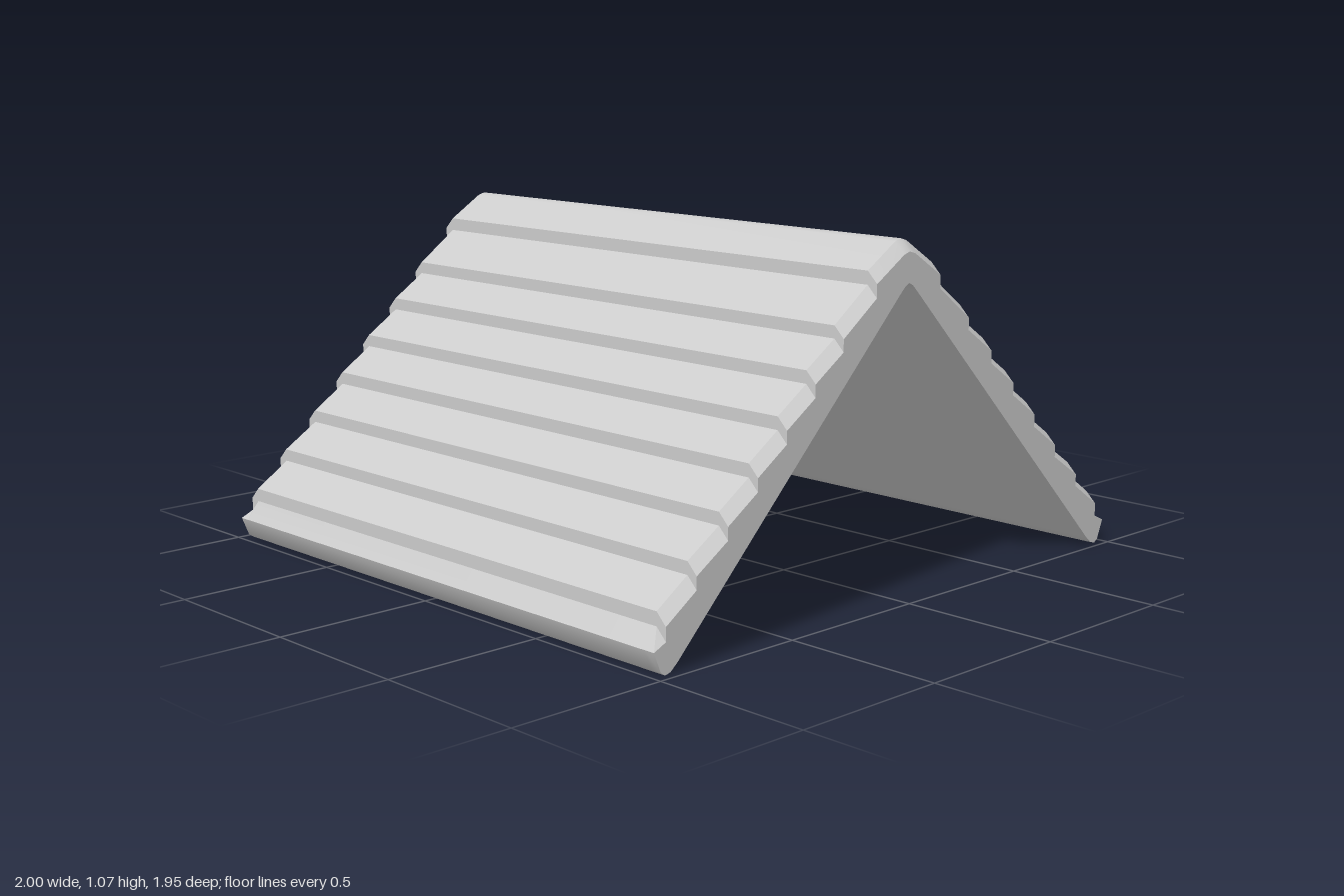
import * as THREE from 'three';
import { toCreasedNormals } from 'three/addons/utils/BufferGeometryUtils.js';

const HALF_LENGTH = 0.975;
const BEVEL = 0.035;

// Course steps on one slope: [x, upper y, lower y]
const STEPS = [
  [0.14, 0.985, 0.945], [0.277, 0.845, 0.808], [0.39, 0.733, 0.695], [0.503, 0.62, 0.582],
  [0.615, 0.507, 0.468], [0.728, 0.393, 0.355], [0.845, 0.28, 0.242], [0.957, 0.166, 0.125],
];

// Closed cross-section, counterclockwise; drop lowers the stepped top surface
function crossSection(drop) {
  const slope = [[0.024, 1.058 - drop]];
  for (const [x, hi, lo] of STEPS) slope.push([x, hi - drop], [x, lo - drop]);
  // Rounded eave, then the plain underside
  slope.push([1, 0.07], [0.975, 0.01], [0.96, 0], [0.94, 0.005], [0.915, 0.026],
    [0.035, 0.914], [0.016, 0.932]);
  const split = 1 + STEPS.length * 2 + 3;
  const outer = slope.slice(0, split), under = slope.slice(split);
  const mirror = (pts) => pts.map(([x, y]) => [-x, y]);
  return [
    ...outer.slice().reverse(), [0, 1.065 - drop], ...mirror(outer),
    ...mirror(under), [0, 0.94], ...under.slice().reverse(),
  ];
}

// Joins cross-sections along z and closes both ends
function loft(sections) {
  const pos = [];
  const tri = (...pts) => pts.forEach((p) => pos.push(...p));
  const rings = sections.map(({ z, drop }) => crossSection(drop).map(([x, y]) => [x, y, z]));
  const n = rings[0].length;
  for (let k = 0; k < rings.length - 1; k++) {
    for (let i = 0; i < n; i++) {
      const j = (i + 1) % n, a = rings[k], b = rings[k + 1];
      tri(a[i], a[j], b[j]);
      tri(a[i], b[j], b[i]);
    }
  }
  const back = rings[0], front = rings[rings.length - 1];
  const outline = front.map(([x, y]) => new THREE.Vector2(x, y));
  for (const [a, b, c] of THREE.ShapeUtils.triangulateShape(outline, [])) {
    tri(front[a], front[b], front[c]);
    tri(back[a], back[c], back[b]);
  }
  const geometry = new THREE.BufferGeometry();
  geometry.setAttribute('position', new THREE.Float32BufferAttribute(pos, 3));
  return toCreasedNormals(geometry, 0.6);
}

export function createModel() {
  const group = new THREE.Group();
  group.name = 'gableRoof';
  const material = new THREE.MeshStandardMaterial({ color: 0xcccccc });

  // Stepped roof shell with bevelled gable edges
  const roof = new THREE.Mesh(loft([
    { z: -HALF_LENGTH, drop: BEVEL },
    { z: -HALF_LENGTH + BEVEL, drop: 0 },
    { z: HALF_LENGTH - BEVEL, drop: 0 },
    { z: HALF_LENGTH, drop: BEVEL },
  ]), material);
  roof.name = 'steppedRoofShell';
  group.add(roof);
  return group;
}
